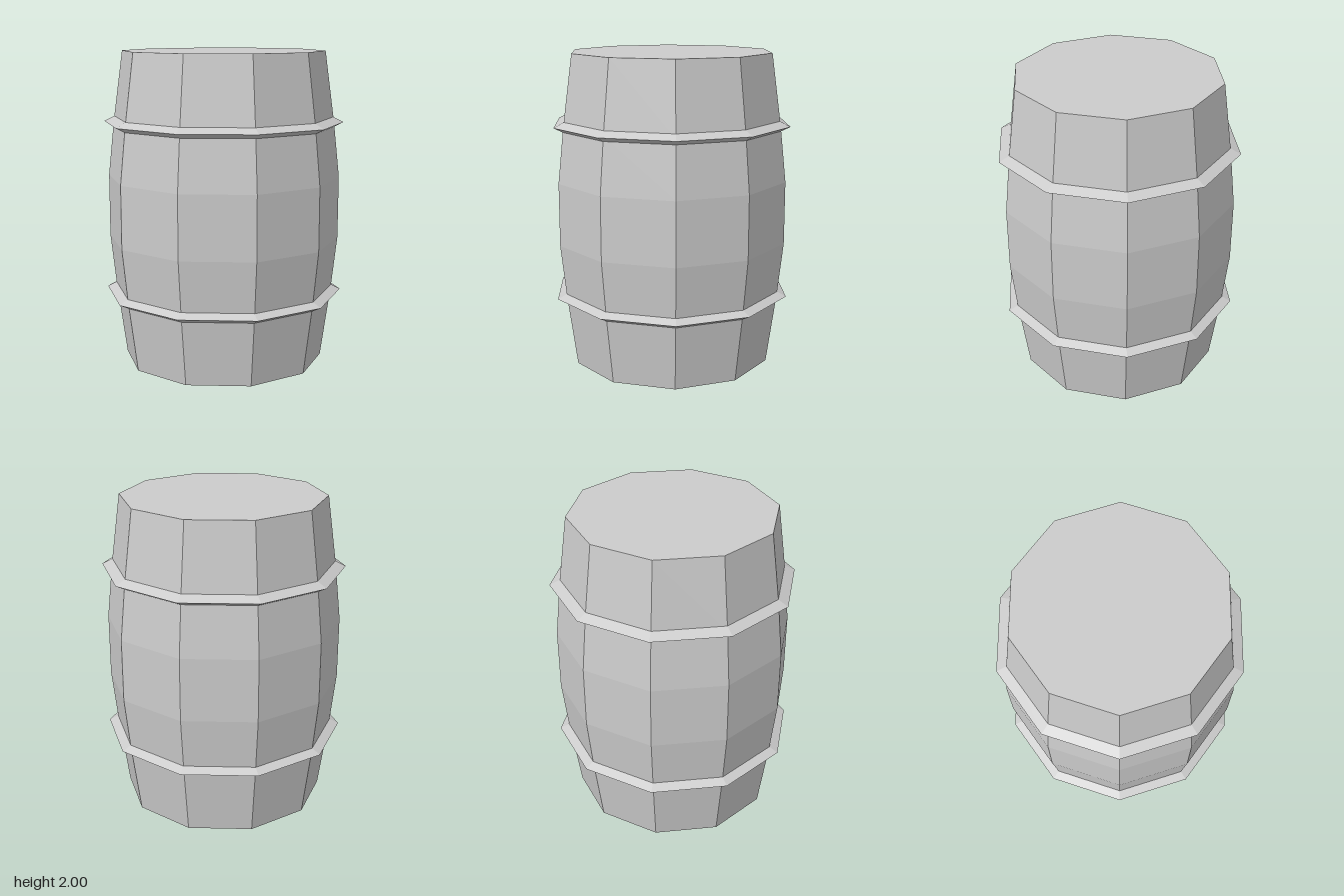
import * as THREE from 'three';

const SIDES = 10;

export function createModel() {
  const group = new THREE.Group();
  const material = new THREE.MeshStandardMaterial({ color: 0xcccccc, flatShading: true });

  // Ten-sided ring or solid, with corners on the x axis
  const addLathe = (name, profile, y = 0) => {
    const points = profile.map(([r, h]) => new THREE.Vector2(r, h));
    const mesh = new THREE.Mesh(new THREE.LatheGeometry(points, SIDES, Math.PI / 2), material);
    mesh.name = name;
    mesh.position.y = y;
    group.add(mesh);
  };

  // Bulging body with flat bottom and lid
  addLathe('barrelBody', [
    [0, 0], [0.645, 0], [0.707, 0.45], [0.745, 0.8],
    [0.745, 1.2], [0.707, 1.55], [0.645, 2], [0, 2],
  ]);

  // Two sharp-edged hoops, their inner sides sunk into the body
  const hoop = [[0.668, -0.05], [0.768, 0], [0.668, 0.05], [0.668, -0.05]];
  addLathe('lowerHoop', hoop, 0.45);
  addLathe('upperHoop', hoop, 1.55);

  return group;
}
